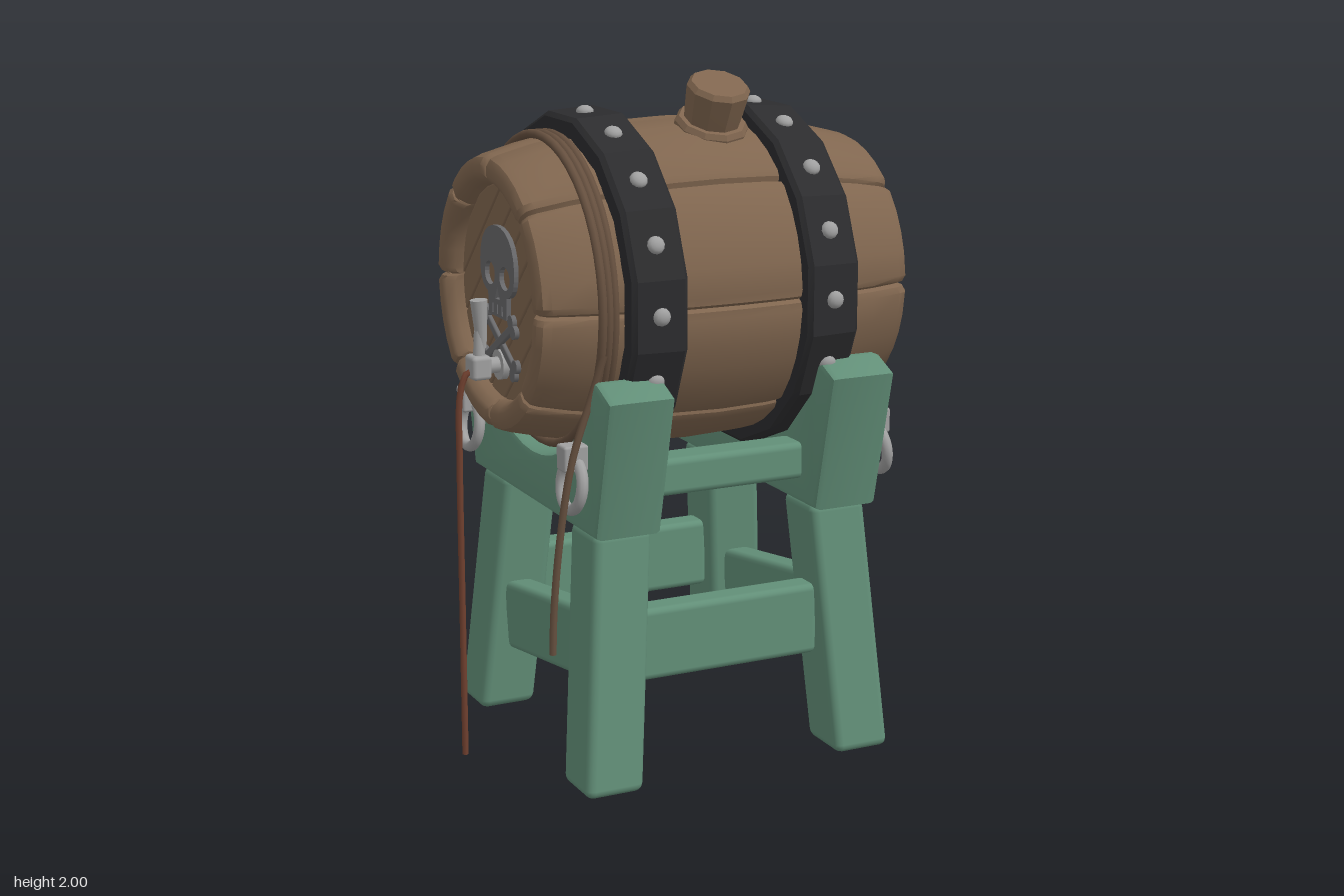
import * as THREE from 'three';
import { toCreasedNormals } from 'three/addons/utils/BufferGeometryUtils.js';
import { RoundedBoxGeometry } from 'three/addons/geometries/RoundedBoxGeometry.js';

const CX = 0.045, CY = 1.385; // barrel centre
const mat = (color) => new THREE.MeshStandardMaterial({ color });
const wood = mat(0x80664f), green = mat(0x628f78), iron = mat(0x2c2c2e), steel = mat(0xa0a0a0);
const emblemGrey = mat(0x68686a), ropeBrown = mat(0x66503f), hoseRed = mat(0x70402f);
const V = (x, y, z) => new THREE.Vector3(x, y, z);

function add(parent, name, geo, material, x = 0, y = 0, z = 0) {
  const m = new THREE.Mesh(geo, material);
  m.name = name;
  m.position.set(x, y, z);
  parent.add(m);
  return m;
}

const box = (w, h, d, r = 0.02) => new RoundedBoxGeometry(w, h, d, 2, r);

// Lathe profile of [along axis, radius], turned about the x axis
function latheX(profile, sides, start = 0) {
  return new THREE.LatheGeometry(profile.map(([a, r]) => new THREE.Vector2(r, a)), sides, start);
}

function extrude(shape, depth, bevel, curveSegments = 10) {
  return new THREE.ExtrudeGeometry(shape, {
    depth: depth - 2 * bevel, bevelThickness: bevel, bevelSize: bevel, bevelOffset: -bevel,
    bevelEnabled: bevel > 0, bevelSegments: 2, curveSegments,
  });
}

// Eight bulging staves with rounded seams and raised end rims
function staveGeometry() {
  const half = [[0.52, 0], [0.52, 0.31], [0.555, 0.313], [0.578, 0.33], [0.585, 0.345], [0.585, 0.37],
    [0.573, 0.39], [0.55, 0.4], [0.45, 0.425], [0.3, 0.453], [0.15, 0.47]];
  const profile = [...half.map(([a, r]) => [-a, r]), [0, 0.475], ...half.slice().reverse()];
  const across = [0, 0.025, 0.08, 0.3, 0.5, 0.7, 0.92, 0.975];
  const sink = [0.02, 0.007, 0, 0, 0, 0, 0, 0.007];
  const n = across.length;
  const geo = latheX(profile, 8 * n);
  const p = geo.attributes.position;
  for (let i = 0; i < p.count; i++) {
    const s = Math.floor(i / profile.length), [a, r] = profile[i % profile.length];
    const angle = (Math.floor(s / n) + across[s % n]) * Math.PI / 4, g = sink[s % n];
    const radius = r > 0.34 ? r - g : r;
    const axial = Math.abs(a) > 0.54 ? a - Math.sign(a) * g : a;
    p.setXYZ(i, radius * Math.sin(angle), axial, radius * Math.cos(angle));
  }
  geo.rotateZ(-Math.PI / 2);
  return toCreasedNormals(geo, 0.6);
}

function buildBarrel(g) {
  add(g, 'staves', staveGeometry(), wood, CX, CY);

  // Diagonal boards in both heads, clipped to the round opening
  const R = 0.312, W = 0.0885;
  for (const side of [1, -1]) {
    const head = new THREE.Group();
    head.name = side > 0 ? 'leftHead' : 'rightHead';
    for (let k = 0; k < 7; k++) {
      const v0 = -0.31 + k * W + 0.003, v1 = v0 + W - 0.006, right = [], left = [];
      for (let j = 0; j <= 4; j++) {
        const v = v0 + (v1 - v0) * j / 4, u = Math.sqrt(Math.max(R * R - v * v, 0.0004));
        right.push(new THREE.Vector2(u, v));
        left.unshift(new THREE.Vector2(-u, v));
      }
      const geo = extrude(new THREE.Shape([...right, ...left]), 0.02, 0.005);
      geo.rotateZ(Math.PI / 4);
      add(head, 'headBoard', geo, wood);
    }
    head.rotation.y = side * Math.PI / 2;
    head.position.set(CX + side * 0.515, CY, 0);
    g.add(head);
  }

  // Iron hoops with sixteen rivets each
  const c = 1 / Math.cos(Math.PI / 16);
  for (const [x, s] of [[-0.225, 1], [0.318, -1]]) {
    const hoop = [[-0.083, 0.44], [-0.083, 0.49 + s * -0.004], [-0.07, 0.503 + s * -0.004],
      [0.07, 0.503 + s * 0.004], [0.083, 0.49 + s * 0.004], [0.083, 0.44]].map(([a, r]) => [a, r * c]);
    const geo = latheX(hoop, 16, Math.PI / 16);
    geo.rotateZ(-Math.PI / 2);
    add(g, 'hoop', toCreasedNormals(geo, 0.35), iron, x, CY);
    for (let k = 0; k < 16; k++) {
      const a = k * Math.PI / 8;
      const rivet = add(g, 'rivet', new THREE.SphereGeometry(0.026, 12, 8), steel,
        x, CY + 0.504 * Math.cos(a), 0.504 * Math.sin(a));
      rivet.rotation.x = a;
      rivet.scale.y = 0.7;
    }
  }

  // Leaning bung in its collar
  const bung = new THREE.Group();
  bung.name = 'bung';
  const turned = (pts) => toCreasedNormals(latheX(pts, 10), 0.5);
  add(bung, 'bungCollar', turned([[-0.07, 0.108], [0.01, 0.108], [0.025, 0.098], [0.025, 0]]), wood);
  add(bung, 'bungCork', turned([[0, 0.08], [0.05, 0.086], [0.125, 0.093], [0.14, 0.082], [0.14, 0]]), wood);
  bung.position.set(0.12, 1.84, 0.115);
  bung.rotation.x = 0.39;
  g.add(bung);
}

// Skull over crossed bones, mounted on the right head
function buildEmblem(g) {
  const e = new THREE.Group();
  e.name = 'skullEmblem';
  const s = new THREE.Shape();
  s.moveTo(-0.065, -0.13);
  s.lineTo(0.065, -0.13);
  s.lineTo(0.07, -0.065);
  s.bezierCurveTo(0.14, -0.05, 0.13, 0.03, 0.12, 0.06);
  s.bezierCurveTo(0.09, 0.16, -0.09, 0.16, -0.12, 0.06);
  s.bezierCurveTo(-0.13, 0.03, -0.14, -0.05, -0.07, -0.065);
  const hole = (pts) => s.holes.push(new THREE.Path(pts.map(([x, y]) => new THREE.Vector2(x, y))));
  for (const m of [-1, 1]) s.holes.push(new THREE.Path().absellipse(m * 0.055, -0.01, 0.038, 0.034, 0, 2 * Math.PI));
  hole([[-0.018, -0.078], [0.018, -0.078], [0, -0.042]]);
  for (const x of [-0.035, 0, 0.035]) hole([[x - 0.004, -0.122], [x + 0.004, -0.122], [x + 0.004, -0.094], [x - 0.004, -0.094]]);
  add(e, 'skull', extrude(s, 0.014, 0), emblemGrey, 0, 0.06);
  for (const m of [-1, 1]) {
    const bone = new THREE.Group();
    bone.name = 'bone';
    add(bone, 'boneShaft', box(0.24, 0.026, 0.014, 0.005), emblemGrey);
    for (const a of [-1, 1]) for (const b of [-1, 1]) {
      const knob = new THREE.CylinderGeometry(0.02, 0.02, 0.014, 12);
      knob.rotateX(Math.PI / 2);
      add(bone, 'boneKnob', knob, emblemGrey, a * 0.122, b * 0.016, 0);
    }
    bone.position.set(0, -0.145, 0.007 + m * 0.002);
    bone.rotation.z = m * 0.55;
    e.add(bone);
  }
  e.rotation.y = -Math.PI / 2;
  e.position.set(CX - 0.534, CY, 0);
  g.add(e);
}

// Tap with lever, hose, and the rope wound round the barrel
function buildTapAndRope(g) {
  const cyl = (r1, r2, h, n = 12) => new THREE.CylinderGeometry(r1, r2, h, n);
  const tap = new THREE.Group();
  tap.name = 'tap';
  add(tap, 'tapFlange', cyl(0.045, 0.045, 0.02).rotateZ(Math.PI / 2), steel, -0.495, 1.175);
  add(tap, 'tapPipe', cyl(0.024, 0.024, 0.1).rotateZ(Math.PI / 2), steel, -0.54, 1.175);
  add(tap, 'tapBody', box(0.06, 0.07, 0.07, 0.012), steel, -0.565, 1.175);
  add(tap, 'tapStem', cyl(0.014, 0.018, 0.08), steel, -0.562, 1.24);
  const lever = add(tap, 'tapLever', cyl(0.026, 0.014, 0.14), steel, -0.557, 1.3);
  lever.rotation.z = 0.05;
  g.add(tap);

  const tube = (pts, r) => new THREE.TubeGeometry(new THREE.CatmullRomCurve3(pts), 32, r, 8);
  add(g, 'hose', tube([V(-0.57, 1.17, 0), V(-0.605, 1.155, 0), V(-0.624, 1.09, 0), V(-0.628, 0.9, 0),
    V(-0.628, 0.4, 0), V(-0.628, 0, 0)], 0.01), hoseRed);

  for (const k of [-1, 0, 1]) {
    const coil = add(g, 'ropeCoil', new THREE.TorusGeometry(0.446, 0.013, 8, 48), ropeBrown, -0.348 + k * 0.022, CY);
    coil.rotation.set(0, Math.PI / 2 - 0.02 - k * 0.008, 0);
  }
  add(g, 'ropeEnd', tube([V(-0.37, 1.28, 0.44), V(-0.4, 1.16, 0.42), V(-0.455, 0.98, 0.41), V(-0.49, 0.75, 0.4),
    V(-0.505, 0.55, 0.39), V(-0.51, 0.42, 0.39)], 0.011), ropeBrown);
}

function buildStand(g) {
  // Saddle outline, z across and y up
  const saddle = new THREE.Shape();
  saddle.moveTo(-0.455, 0.755);
  saddle.lineTo(0.455, 0.755);
  saddle.lineTo(0.55, 1.165);
  saddle.lineTo(0.46, 1.205);
  const a = Math.asin((1.205 - CY) / 0.475);
  for (let k = 0; k <= 16; k++) {
    const t = a + (-Math.PI - 2 * a) * k / 16;
    saddle.lineTo(0.475 * Math.cos(t), CY + 0.475 * Math.sin(t));
  }
  saddle.lineTo(-0.46, 1.205);
  saddle.lineTo(-0.55, 1.165);

  for (const s of [-1, 1]) {
    const geo = extrude(saddle, 0.205, 0.018);
    geo.translate(0, 0, -0.1025 + 0.018);
    geo.rotateY(-Math.PI / 2);
    add(g, 'saddle', toCreasedNormals(geo, 0.5), green, CX + s * 0.348, 0);

    for (const f of [-1, 1]) {
      // Splayed leg
      const leg = box(0.178, 0.76, 0.18, 0.025);
      leg.applyMatrix4(new THREE.Matrix4().makeShear(0, 0, -s * 0.08, -f * 0.095, 0, 0));
      add(g, 'leg', leg, green, CX + s * 0.375, 0.38, f * 0.365);

      // Hanging ring on the saddle's outer face
      const x = CX + s * 0.45;
      add(g, 'ringBracket', box(0.075, 0.075, 0.06, 0.008), steel, x + s * 0.035, 0.985, f * 0.38);
      const ring = add(g, 'ring', new THREE.TorusGeometry(0.07, 0.017, 10, 28), steel, x + s * 0.038, 0.905, f * 0.38);
      ring.rotation.set(0, Math.PI / 2, s * 0.14, 'ZYX');
    }
    // Slanted side stretcher
    const side = add(g, 'sideStretcher', box(0.09, 0.21, 0.58), green, CX + s * 0.378, 0.355, 0);
    side.rotation.x = -0.15;
    // Long rails at front and back
    add(g, 'longStretcher', box(0.58, 0.215, 0.09), green, CX, 0.405, s * 0.36);
    add(g, 'upperRail', box(0.52, 0.11, 0.11), green, CX, 0.885, s * 0.32);
  }
}

export function createModel() {
  const g = new THREE.Group();
  g.name = 'barrelOnStand';
  buildBarrel(g);
  buildEmblem(g);
  buildTapAndRope(g);
  buildStand(g);
  return g;
}
